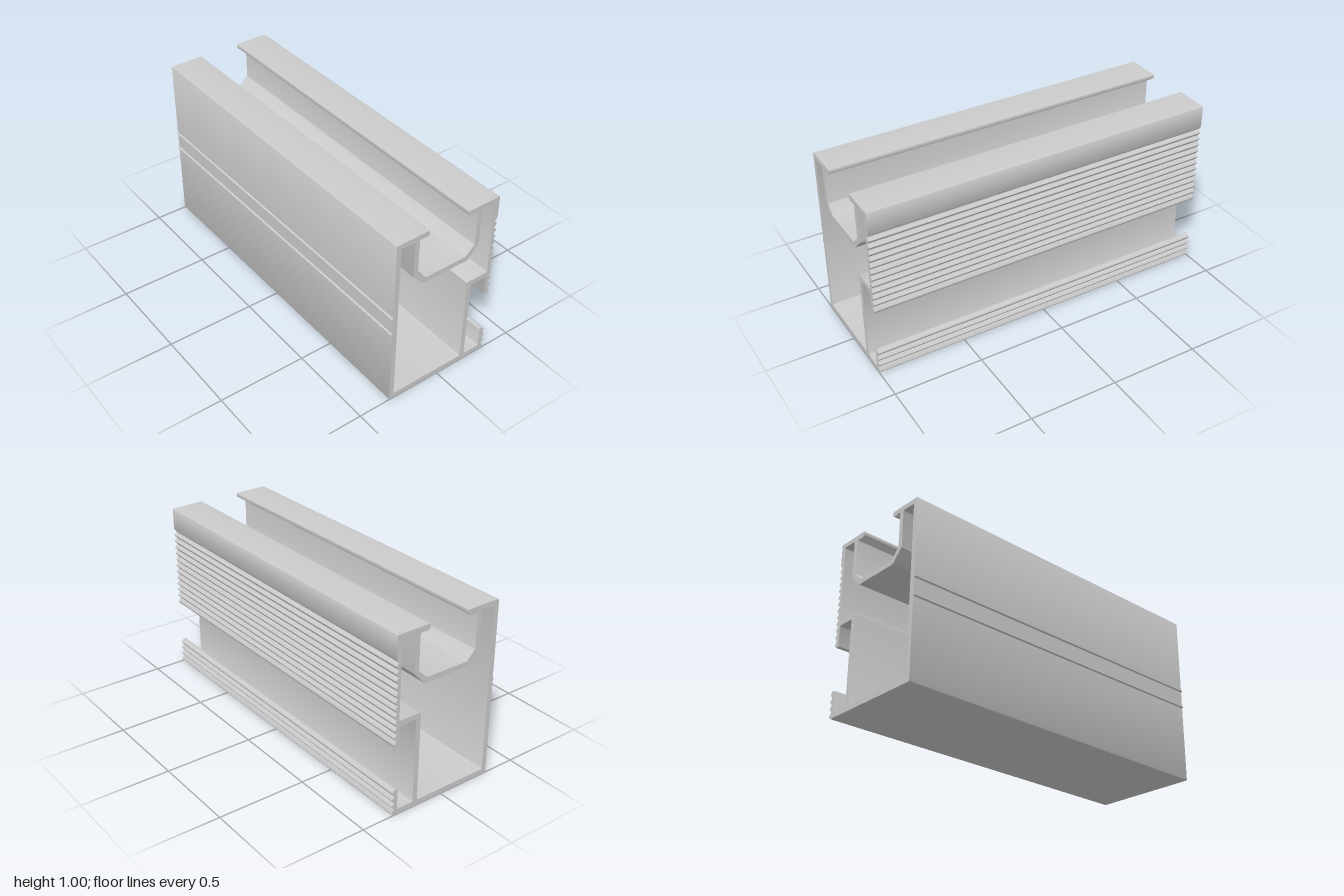
import * as THREE from 'three';
import { toCreasedNormals } from 'three/addons/utils/BufferGeometryUtils.js';

const LENGTH = 2;

// Trace a closed outline of [x, y, cornerRadius] points, rounding corners that have a radius
function trace(path, points) {
  const n = points.length;
  points.forEach(([x, y, r = 0], i) => {
    const p = new THREE.Vector2(x, y);
    const toward = (q) => new THREE.Vector2(q[0], q[1]).sub(p).setLength(r).add(p);
    const a = r ? toward(points[(i + n - 1) % n]) : p;
    if (i === 0) path.moveTo(a.x, a.y);
    else path.lineTo(a.x, a.y);
    if (r) {
      const b = toward(points[(i + 1) % n]);
      path.quadraticCurveTo(x, y, b.x, b.y);
    }
  });
  path.closePath();
  return path;
}

// Rounded grip ribs running up the right face, starting and ending in a trough
function ribs(yStart, yEnd, count) {
  const steps = count * 8;
  return Array.from({ length: steps + 1 }, (_, i) => [
    0.3155 - 0.0075 * Math.cos((i / 8) * Math.PI * 2),
    yStart + ((yEnd - yStart) * i) / steps,
  ]);
}

// Small teeth under a top lip, from x0 to x1
function teeth(x0, x1, count) {
  return Array.from({ length: count * 2 + 1 }, (_, i) => [
    x0 + ((x1 - x0) * i) / (count * 2),
    i % 2 ? 0.967 : 0.975,
  ]);
}

// Little locating ridge on the left face
const ridge = (y) => [[-0.316, y + 0.007], [-0.324, y + 0.002], [-0.324, y - 0.002], [-0.316, y - 0.007]];

export function createModel() {
  const group = new THREE.Group();
  group.name = 'extrudedRail';
  const R = 0.007;

  const outline = [
    // base and lower ribbed lip
    [-0.316, 0, R], [0.315, 0, R], [0.323, 0.012, 0.004],
    ...ribs(0.035, 0.112, 2), [0.323, 0.131, 0.006], [0.311, 0.148, R], [0.289, 0.148, R],
    // side channel
    [0.289, 0.03, R], [0.188, 0.03, R], [0.188, 0.508, R], [0.289, 0.508, R],
    // upper ribbed lip and wall
    [0.289, 0.39, R], [0.312, 0.39, R], [0.323, 0.407, 0.006],
    ...ribs(0.43, 0.855, 11), [0.323, 0.873, 0.003], [0.323, 1, R],
    // right top lip
    [0.125, 1, 0.004], [0.125, 0.975, 0.004], ...teeth(0.132, 0.184, 4),
    // top slot
    [0.184, 0.771, R], [0.132, 0.719, R], [-0.126, 0.719, R], [-0.178, 0.771, R],
    // left top lip
    ...teeth(-0.178, -0.126, 4), [-0.119, 0.975, 0.004], [-0.119, 1, 0.004],
    // left wall
    [-0.316, 1, R], ...ridge(0.552), ...ridge(0.45),
  ];

  // Hollow chamber running around the slot and the side channel
  const chamber = [
    [-0.288, 0.03, R], [-0.288, 0.972, R], [-0.205, 0.972, R], [-0.205, 0.76, R],
    [-0.136, 0.69, R], [0.144, 0.69, R], [0.211, 0.76, R], [0.211, 0.974, R],
    [0.294, 0.974, R], [0.294, 0.537, R], [0.159, 0.537, R], [0.159, 0.03, R],
  ];

  const section = trace(new THREE.Shape(), outline);
  section.holes.push(trace(new THREE.Path(), chamber));

  const geometry = new THREE.ExtrudeGeometry(section, { depth: LENGTH, bevelEnabled: false, curveSegments: 4 });
  geometry.translate(0, 0, -LENGTH / 2);

  const rail = new THREE.Mesh(
    toCreasedNormals(geometry, Math.PI / 5),
    new THREE.MeshStandardMaterial({ color: 0xcccccc })
  );
  rail.name = 'railProfile';
  group.add(rail);
  return group;
}
